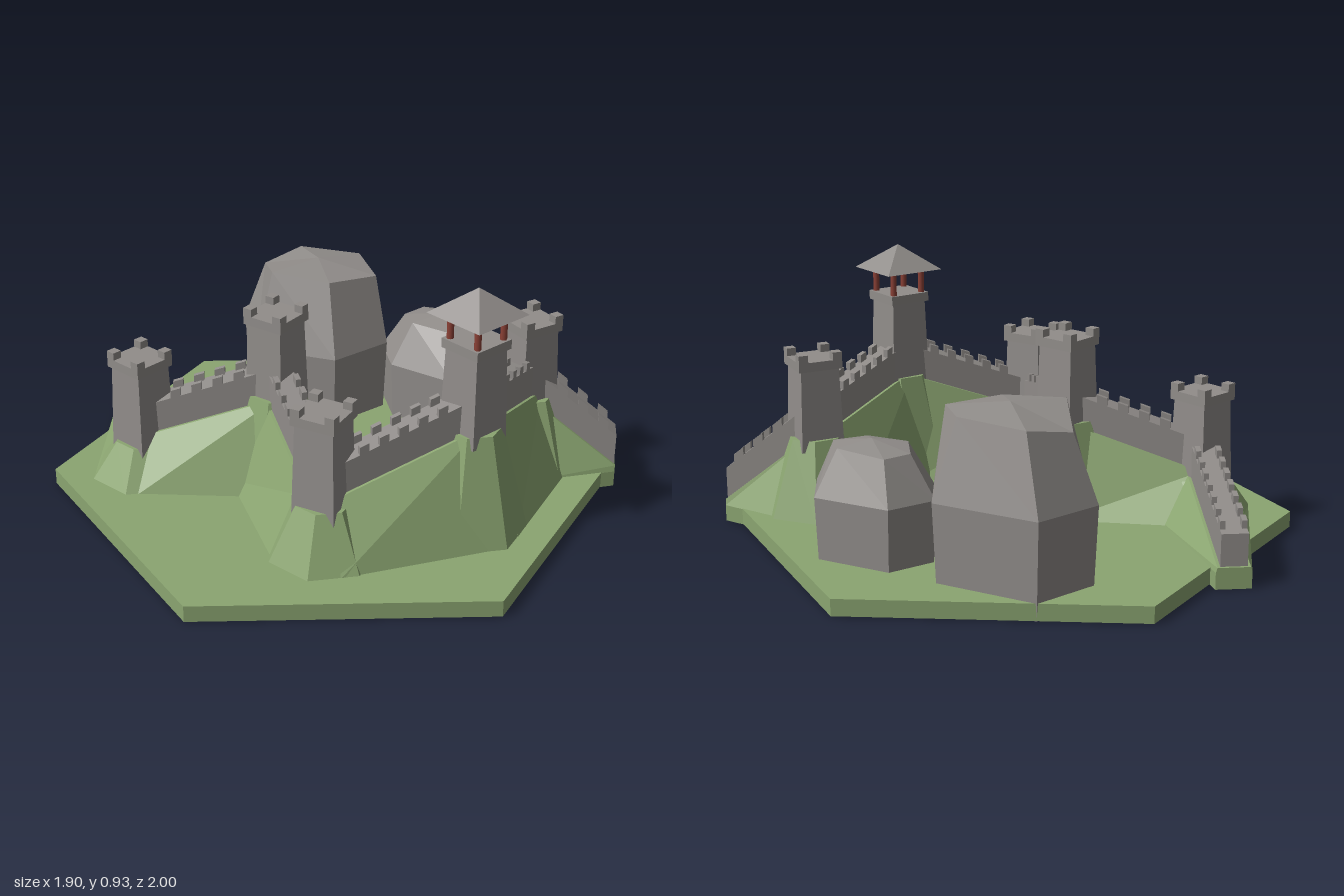
import * as THREE from 'three';

const mat = (name, color) => Object.assign(new THREE.MeshStandardMaterial({ color }), { name });

// Closed flat-faced solid through rings of equal point count
function loft(rings, capEnd) {
  const tris = [], n = rings[0].length;
  const mid = (r) => [0, 1, 2].map((k) => r.reduce((s, p) => s + p[k], 0) / n);
  for (let i = 0; i < rings.length - 1; i++) {
    for (let j = 0; j < n; j++) {
      const k = (j + 1) % n, a = rings[i][j], b = rings[i][k], c = rings[i + 1][k], d = rings[i + 1][j];
      tris.push([a, b, c], [a, c, d]);
    }
  }
  const first = rings[0], last = rings[rings.length - 1];
  const c0 = mid(first), c1 = capEnd || mid(last);
  for (let j = 0; j < n; j++) {
    const k = (j + 1) % n;
    tris.push([first[k], first[j], c0], [last[j], last[k], c1]);
  }
  // turn the solid outward if its volume is negative
  const v = tris.map((t) => t.map((p) => new THREE.Vector3(...p)));
  const volume = v.reduce((s, [a, b, c]) => s + a.dot(b.clone().cross(c)), 0);
  if (volume < 0) v.forEach((t) => t.reverse());
  const g = new THREE.BufferGeometry().setFromPoints(v.flat());
  g.computeVertexNormals();
  return g;
}

export function createModel() {
  const root = new THREE.Group();
  root.name = 'hillFortress';
  const grass = mat('grass green', 0x8ba571);
  const stone = mat('stone grey', 0x918d8a);
  const red = mat('pillar red', 0x8c4136);

  const add = (parent, name, geometry, material, x = 0, y = 0, z = 0) => {
    const m = new THREE.Mesh(geometry, material);
    m.name = name;
    m.position.set(x, y, z);
    parent.add(m);
    return m;
  };

  // Hexagonal ground slab
  const slab = new THREE.CylinderGeometry(1, 1, 0.058, 6).toNonIndexed();
  slab.computeVertexNormals();
  add(root, 'ground', slab, grass, 0.04, 0.031, 0);

  // Path of the fortress: ridge height h, hill foot half-width w, tower data
  const nodes = [
    { x: -0.907, z: -0.118, h: 0.075, w: 0.06 },
    { x: -0.545, z: 0.34, h: 0.22, w: 0.18, mound: 0.19, cap: 0.47, turn: -0.25 },
    { x: -0.115, z: 0.135, h: 0.38, w: 0.18, mound: 0.385, cap: 0.65, turn: -0.13 },
    { x: 0.27, z: 0.505, h: 0.27, w: 0.18, mound: 0.25, cap: 0.54, turn: 0 },
    { x: 0.625, z: 0.135, h: 0.45, w: 0.18, mound: 0.44, cap: 0.72, turn: -0.35, pavilion: true },
    { x: 0.615, z: -0.375, h: 0.34, w: 0.18, mound: 0.33, cap: 0.58, turn: -0.52 },
    { x: 0.922, z: -0.495, h: 0.08, w: 0.06 },
  ];

  // Solid running from a to b, its cross-section given by [offset, height] at each end
  const run = (a, b, t0, t1, section) => {
    const dx = b.x - a.x, dz = b.z - a.z, len = Math.hypot(dx, dz);
    return loft([t0, t1].map((t) => {
      const h = a.h + (b.h - a.h) * t, w = a.w + (b.w - a.w) * t;
      return section(h, w).map(([o, y]) => [a.x + dx * t - (dz / len) * o, y, a.z + dz * t + (dx / len) * o]);
    }));
  };

  const WALL = 0.112;
  for (let i = 0; i < nodes.length - 1; i++) {
    const a = nodes[i], b = nodes[i + 1];
    const len = Math.hypot(b.x - a.x, b.z - a.z);

    // Sloped embankment and the wall on its ridge
    add(root, 'embankment', run(a, b, 0, 1, (h, w) => [
      [-w, 0], [w, 0], [w, 0.058], [0.055, h], [-0.055, h], [-w, 0.058],
    ]), grass);
    add(root, 'wall', run(a, b, 0.01, 0.99, (h) => [
      [-0.045, h - 0.02], [0.045, h - 0.02], [0.045, h + WALL], [-0.045, h + WALL],
    ]), stone);

    // Battlements along both edges, stopping short of the towers
    const from = (a.cap ? 0.09 : 0.015) / len, to = 1 - (b.cap ? 0.09 : 0.015) / len;
    const count = Math.round((to - from) * len / 0.068), step = (to - from) / count;
    for (let k = 0; k < count; k++) {
      const t = from + (k + 0.25) * step;
      for (const side of [-1, 1]) {
        add(root, 'wallMerlon', run(a, b, t, t + step * 0.48, (h) => [
          [side * 0.045, h + WALL - 0.005], [side * 0.027, h + WALL - 0.005],
          [side * 0.027, h + WALL + 0.028], [side * 0.045, h + WALL + 0.028],
        ]), stone);
      }
    }
  }

  // Towers, each on its own seven-sided mound
  const square = (s, y) => [[-s, y, -s], [s, y, -s], [s, y, s], [-s, y, s]];
  const corners = [[-1, -1], [1, -1], [1, 1], [-1, 1]];
  for (const n of nodes.filter((p) => p.cap)) {
    const ring = (r, y) => Array.from({ length: 7 }, (_, k) => {
      const t = Math.PI + (k * 2 * Math.PI) / 7;
      return [n.x + r * Math.cos(t), y, n.z + r * Math.sin(t)];
    });
    add(root, 'mound', loft([ring(0.2, 0.05), ring(0.1, n.mound)]), grass);

    const tower = new THREE.Group();
    tower.name = n.pavilion ? 'watchtower' : 'tower';
    tower.position.set(n.x, 0, n.z);
    tower.rotation.y = n.turn;
    root.add(tower);
    add(tower, 'shaft', loft([square(0.078, n.mound - 0.04), square(0.069, n.cap)]), stone);
    add(tower, 'cap', new THREE.BoxGeometry(0.158, 0.033, 0.158), stone, 0, n.cap + 0.0165, 0);
    for (const [sx, sz] of corners) {
      if (n.pavilion) {
        add(tower, 'pillar', new THREE.CylinderGeometry(0.0115, 0.0115, 0.1, 8), red, sx * 0.06, n.cap + 0.078, sz * 0.06);
      } else {
        add(tower, 'towerMerlon', new THREE.BoxGeometry(0.034, 0.028, 0.034), stone, sx * 0.062, n.cap + 0.046, sz * 0.062);
      }
    }
    if (n.pavilion) {
      const roof = new THREE.ConeGeometry(0.163, 0.09, 4).toNonIndexed();
      roof.rotateY(Math.PI / 4);
      roof.computeVertexNormals();
      add(tower, 'roof', roof, stone, 0, n.cap + 0.165, 0);
    }
  }

  // Boulders: foot and belt share an outline, the rim is drawn in
  const boulder = (cx, cz, beltY, belt, rim, peak) => {
    const foot = belt.map(([x, z]) => [cx + (x - cx) * 0.95, 0, cz + (z - cz) * 0.95]);
    const middle = belt.map(([x, z]) => [x, beltY, z]);
    add(root, 'boulder', loft([foot, middle, rim], [cx, peak, cz]), stone);
  };
  boulder(-0.29, -0.49, 0.33,
    [[-0.525, -0.69], [-0.155, -0.73], [0, -0.5], [-0.1, -0.27], [-0.41, -0.22], [-0.6, -0.46]],
    [[-0.445, 0.59, -0.635], [-0.2, 0.6, -0.655], [-0.06, 0.585, -0.52], [-0.17, 0.595, -0.355], [-0.39, 0.61, -0.315], [-0.52, 0.56, -0.485]],
    0.625);
  boulder(0.18, -0.6, 0.275,
    [[0.01, -0.74], [0.285, -0.775], [0.4, -0.625], [0.315, -0.41], [0.05, -0.44], [-0.06, -0.58]],
    [[0.065, 0.42, -0.685], [0.245, 0.43, -0.7], [0.335, 0.42, -0.61], [0.27, 0.42, -0.51], [0.1, 0.43, -0.51], [0.03, 0.42, -0.59]],
    0.45);

  return root;
}
